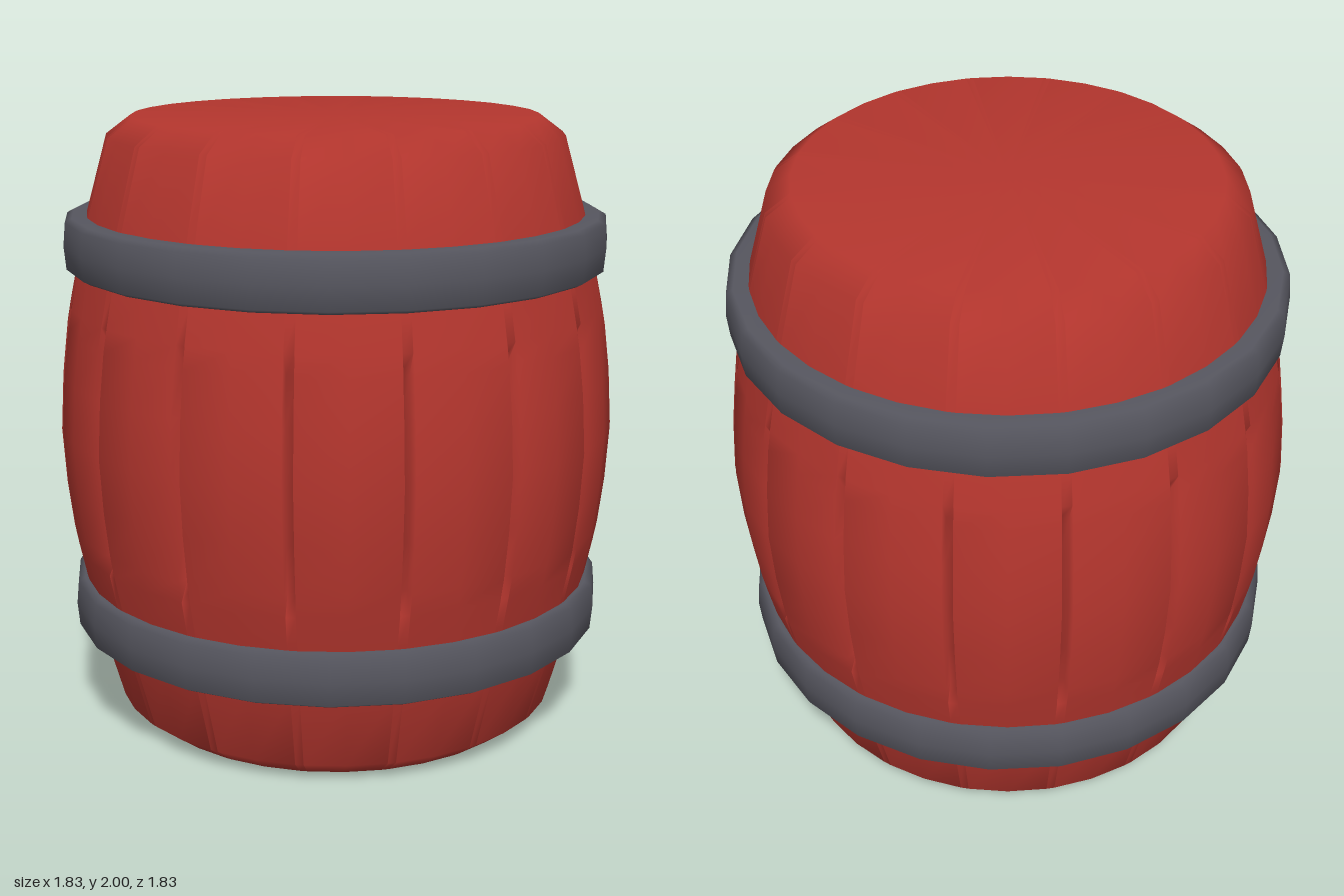
import * as THREE from 'three';

const STAVES = 16;

// Barrel half profile, bottom to middle: [radius, height, groove depth]
const HALF = [
  [0.66, 0, 0], [0.74, 0.06, 0], [0.81, 0.31, 0], [0.852, 0.5, 0],
  [0.873, 0.6, 0], [0.886, 0.67, 0.045], [0.904, 0.82, 0.05],
];
const ROWS = [
  ...HALF,
  [0.915, 1, 0.05],
  ...HALF.map(([r, y, d]) => [r, 2 - y, d]).reverse(),
];

// Closed barrel surface with a narrow sunken groove between neighbouring staves
function barrelGeometry() {
  const step = (Math.PI * 2) / STAVES;
  const gap = 0.019;
  // columns of one stave: [angle offset, lies on the groove floor]
  const columns = [[-gap * 0.9, 1], [gap * 0.9, 1], [gap, 0], [step / 2, 0], [step - gap, 0]];
  const count = STAVES * columns.length;
  const positions = [];
  const index = [];
  for (const [radius, y, depth] of ROWS) {
    for (let s = 0; s < STAVES; s++) {
      for (const [offset, floor] of columns) {
        const a = s * step + offset;
        const r = radius - floor * depth;
        positions.push(r * Math.cos(a), y, r * Math.sin(a));
      }
    }
  }
  const bottom = ROWS.length * count;
  const top = bottom + 1;
  positions.push(0, 0, 0, 0, 2, 0);
  const last = (ROWS.length - 1) * count;
  for (let j = 0; j < count; j++) {
    const k = (j + 1) % count;
    for (let i = 0; i < last; i += count) {
      index.push(i + j, i + count + j, i + k, i + k, i + count + j, i + count + k);
    }
    index.push(bottom, j, k, top, last + k, last + j);
  }
  const geometry = new THREE.BufferGeometry();
  geometry.setAttribute('position', new THREE.Float32BufferAttribute(positions, 3));
  geometry.setIndex(index);
  geometry.computeVertexNormals();
  return geometry;
}

// Slightly rounded metal hoop, centred on its own height
function hoopGeometry() {
  const profile = [
    [0.79, -0.088], [0.86, -0.087], [0.882, -0.075], [0.889, 0],
    [0.882, 0.075], [0.86, 0.087], [0.79, 0.088],
  ].map(([r, y]) => new THREE.Vector2(r, y));
  return new THREE.LatheGeometry(profile, 24);
}

export function createModel() {
  const red = new THREE.MeshStandardMaterial({ color: 0xb5362e });
  red.name = 'red';
  const iron = new THREE.MeshStandardMaterial({ color: 0x56565f });
  iron.name = 'iron grey';

  const group = new THREE.Group();
  group.name = 'barrel';

  const body = new THREE.Mesh(barrelGeometry(), red);
  body.name = 'barrelBody';
  group.add(body);

  // Two hoops mirrored about the middle
  const hoop = hoopGeometry();
  for (const [name, y] of [['lowerHoop', 0.398], ['upperHoop', 1.602]]) {
    const mesh = new THREE.Mesh(hoop, iron);
    mesh.name = name;
    mesh.position.y = y;
    group.add(mesh);
  }
  return group;
}
